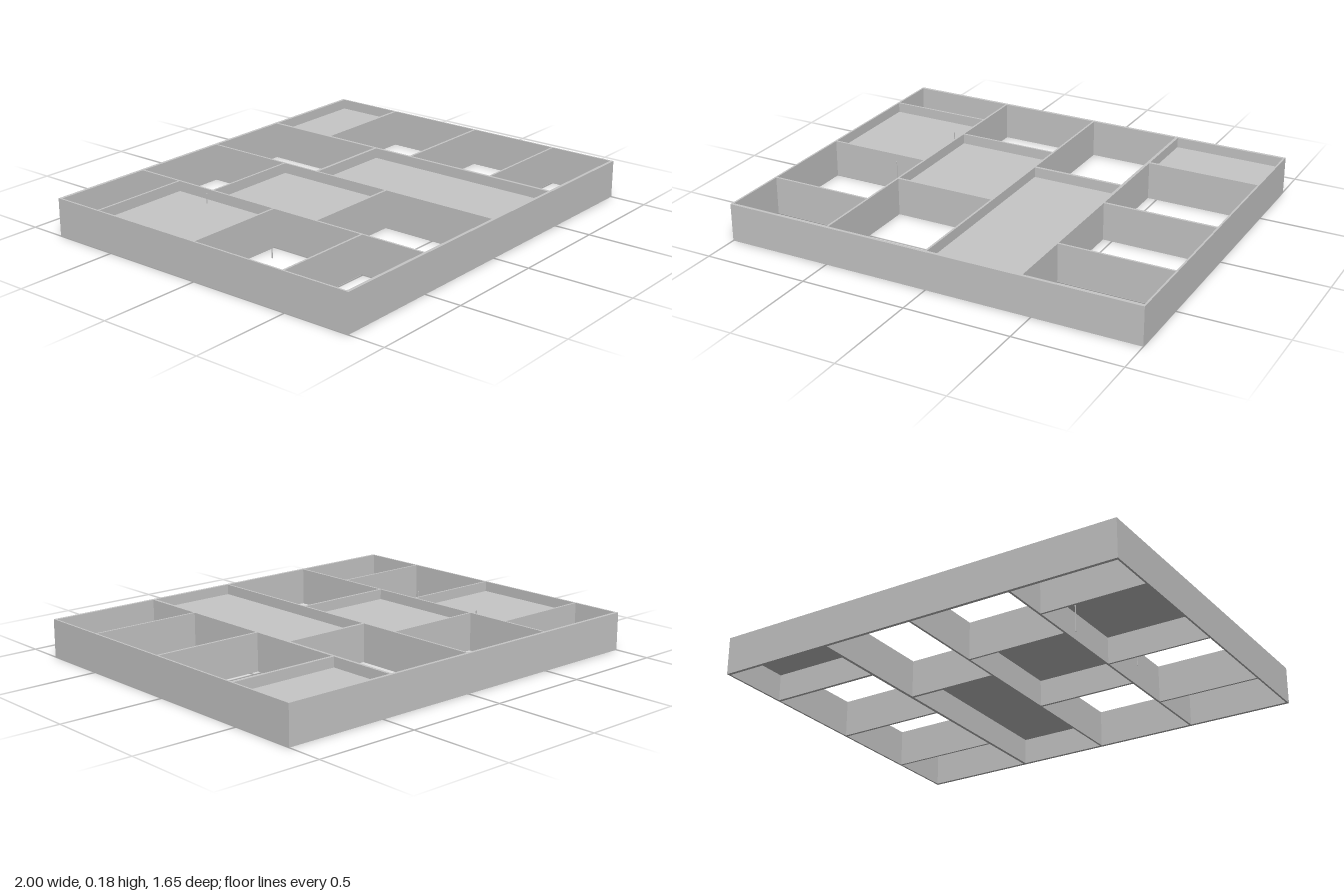
import * as THREE from 'three';

const H = 0.18;        // wall height
const SLAB_Y = 0.13;   // level of the raised panels

export function createModel() {
  const group = new THREE.Group();
  const grey = new THREE.MeshStandardMaterial({ color: 0xc6c6c6 });
  grey.name = 'light grey';

  // Box spanning x0..x1, y0..y1, z0..z1
  const block = (name, x0, x1, z0, z1, y0 = 0, y1 = H) => {
    const mesh = new THREE.Mesh(new THREE.BoxGeometry(x1 - x0, y1 - y0, z1 - z0), grey);
    mesh.position.set((x0 + x1) / 2, (y0 + y1) / 2, (z0 + z1) / 2);
    mesh.name = name;
    group.add(mesh);
  };

  // Outer frame
  for (const s of [-1, 1]) {
    block(s > 0 ? 'frontWall' : 'backWall', -1, 1, s * 0.8175 - 0.0075, s * 0.8175 + 0.0075);
    block(s > 0 ? 'leftWall' : 'rightWall', s * 0.9955 - 0.0045, s * 0.9955 + 0.0045, -0.81, 0.81);
  }

  // Long partitions running front to back: [x, thickness]
  for (const [x, t] of [[-0.494, 0.01], [0, 0.01], [0.449, 0.014]]) {
    block('longPartition', x - t / 2, x + t / 2, -0.81, 0.81);
  }

  // Each column: x range, cross partitions [z, thickness], panel z range
  const columns = [
    { x: [-0.991, -0.499], cross: [[-0.575, 0.01], [0, 0.01], [0.49, 0.01]], panel: [-0.57, -0.005] },
    { x: [-0.489, -0.005], cross: [[-0.367, 0.01], [0.236, 0.012]], panel: [-0.362, 0.23] },
    { x: [0.005, 0.442], cross: [[-0.173, 0.014]], panel: [-0.166, 0.81] },
    { x: [0.456, 0.991], cross: [[-0.47, 0.014], [0.033, 0.012], [0.49, 0.01]], panel: [-0.81, -0.477] },
  ];
  for (const { x, cross, panel } of columns) {
    for (const [z, t] of cross) block('crossPartition', x[0], x[1], z - t / 2, z + t / 2);
    block('raisedPanel', x[0], x[1], panel[0], panel[1], SLAB_Y - 0.002, SLAB_Y + 0.002);
  }

  // Two slender posts
  for (const [x, z] of [[-0.54, -0.36], [-0.6, 0.08]]) {
    block('post', x - 0.002, x + 0.002, z - 0.002, z + 0.002);
  }

  return group;
}
